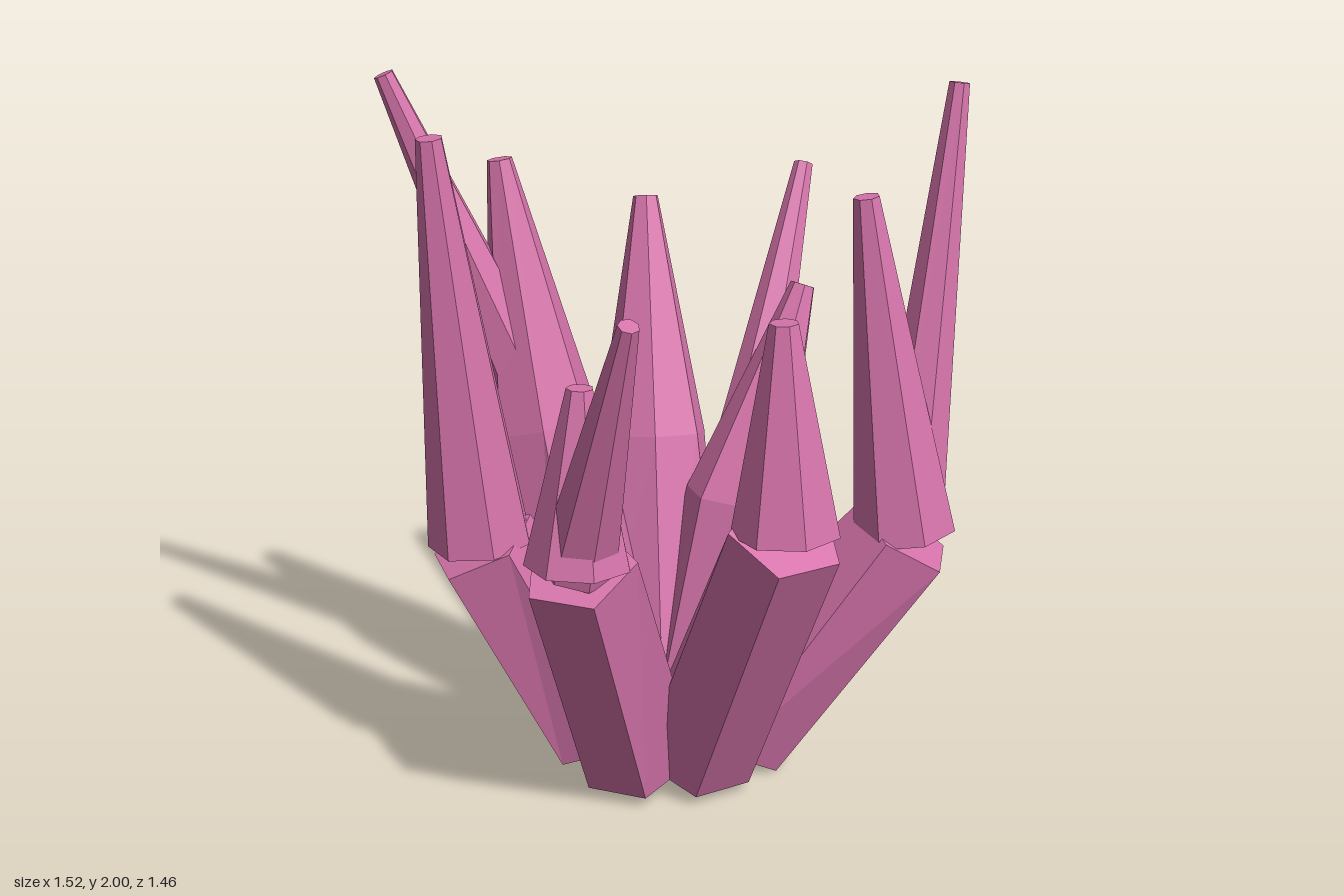
import * as THREE from 'three';

const material = new THREE.MeshStandardMaterial({ color: 0xd674ab, flatShading: true });
const CENTER = new THREE.Vector3(-0.08, 0, -0.07);
const HUB_Y = 0.2; // height where the inner corners of all trunks meet

// angle: degrees from +z towards +x; base, top and tip: [distance from hub, height]
// branch: [base radius, tip radius]; side: tip of a second branch in model space
// fused: trunk and branch form one continuous limb
const ARMS = [
  { angle: 12, base: [0.24, 0.085], top: [0.67, 0.945], tip: [0.646, 1.53], branch: [0.15, 0.04] },
  { angle: 63.4, base: [0.25, 0.07], top: [0.7, 0.745], tip: [0.568, 1.73], branch: [0.148, 0.037],
    side: [0.735, 2.0, 0.085] },
  { angle: 114.9, base: [0.2, 0.09], top: [0.31, 0.74], tip: [0.568, 1.33], branch: [0.155, 0.037],
    side: [0.545, 1.61, -0.61], fused: true },
  { angle: 166.3, base: [0.2, 0.11], top: [0.405, 0.86], tip: [0.636, 1.53], branch: [0.165, 0.038], fused: true },
  { angle: 217.7, base: [0.2, 0.1], top: [0.42, 0.96], tip: [0.556, 1.73], branch: [0.165, 0.037],
    side: [-0.735, 1.99, -0.55], fused: true },
  { angle: 269.1, base: [0.22, 0.1], top: [0.53, 0.74], tip: [0.635, 1.92], branch: [0.15, 0.037] },
  { angle: 320.6, base: [0.24, 0.085], top: [0.59, 0.84], tip: [0.562, 1.34], branch: [0.148, 0.037],
    side: [-0.4, 1.61, 0.69] },
];

// Lean from vertical of the line between two [distance, height] points
const lean = (a, b) => Math.atan2(b[0] - a[0], b[1] - a[1]);

// Faceted limb through tilted rings [center, radius, tilt]; its foot flares and
// its inner bottom corner is drawn to the hub
function trunkGeometry(rings, sides) {
  const geo = new THREE.CylinderGeometry(1, 1, 1, sides, rings.length - 1, false, Math.PI / sides);
  const pos = geo.attributes.position;
  for (let i = 0; i < pos.count; i++) {
    const row = Math.round((pos.getY(i) + 0.5) * (rings.length - 1));
    const [center, radius, tilt] = rings[row];
    const z = pos.getZ(i);
    if (row === 0 && z < -0.99) {
      pos.setXYZ(i, 0, HUB_Y, 0);
    } else {
      const flare = row === 0 && z < 0 ? 1.3 : 1;
      pos.setXYZ(i, pos.getX(i) * radius * flare,
        center[1] - z * radius * Math.sin(tilt), center[0] + z * radius * Math.cos(tilt));
    }
  }
  geo.computeVertexNormals();
  return geo;
}

// Seven-sided tapering branch between two points
function makeBranch(from, to, baseRadius, tipRadius, name) {
  const axis = to.clone().sub(from);
  const mesh = new THREE.Mesh(
    new THREE.CylinderGeometry(tipRadius, baseRadius, axis.length(), 7), material);
  mesh.name = name;
  mesh.position.copy(from).add(to).multiplyScalar(0.5);
  mesh.quaternion.setFromUnitVectors(new THREE.Vector3(0, 1, 0), axis.normalize());
  return mesh;
}

export function createModel() {
  const model = new THREE.Group();
  model.name = 'coral';

  ARMS.forEach(({ angle, base, top, tip, branch, side, fused }, i) => {
    const arm = new THREE.Group();
    arm.name = `arm${i + 1}`;
    const theta = THREE.MathUtils.degToRad(angle);
    const place = ([r, y]) => new THREE.Vector3(Math.sin(theta) * r, y, Math.cos(theta) * r).add(CENTER);
    const tilt = lean(base, top);

    // Trunk, running on to the tip where it is fused with its branch
    const rings = fused
      ? [[base, 0.19, tilt], [top, branch[0], tilt], [tip, branch[1], lean(top, tip)]]
      : [[base, 0.15, tilt], [top, 0.16, tilt]];
    const trunk = new THREE.Mesh(trunkGeometry(rings, fused ? 7 : 5), material);
    trunk.name = fused ? 'trunkAndBranch' : 'trunk';
    trunk.position.copy(CENTER);
    trunk.rotation.y = theta;
    arm.add(trunk);

    // Separate branches grow from the middle of the trunk's top
    const joint = place([top[0], top[1] + 0.01]);
    if (!fused) arm.add(makeBranch(joint, place(tip), ...branch, 'mainBranch'));
    if (side) arm.add(makeBranch(joint, new THREE.Vector3(...side), 0.11, 0.029, 'sideBranch'));
    model.add(arm);
  });

  return model;
}
